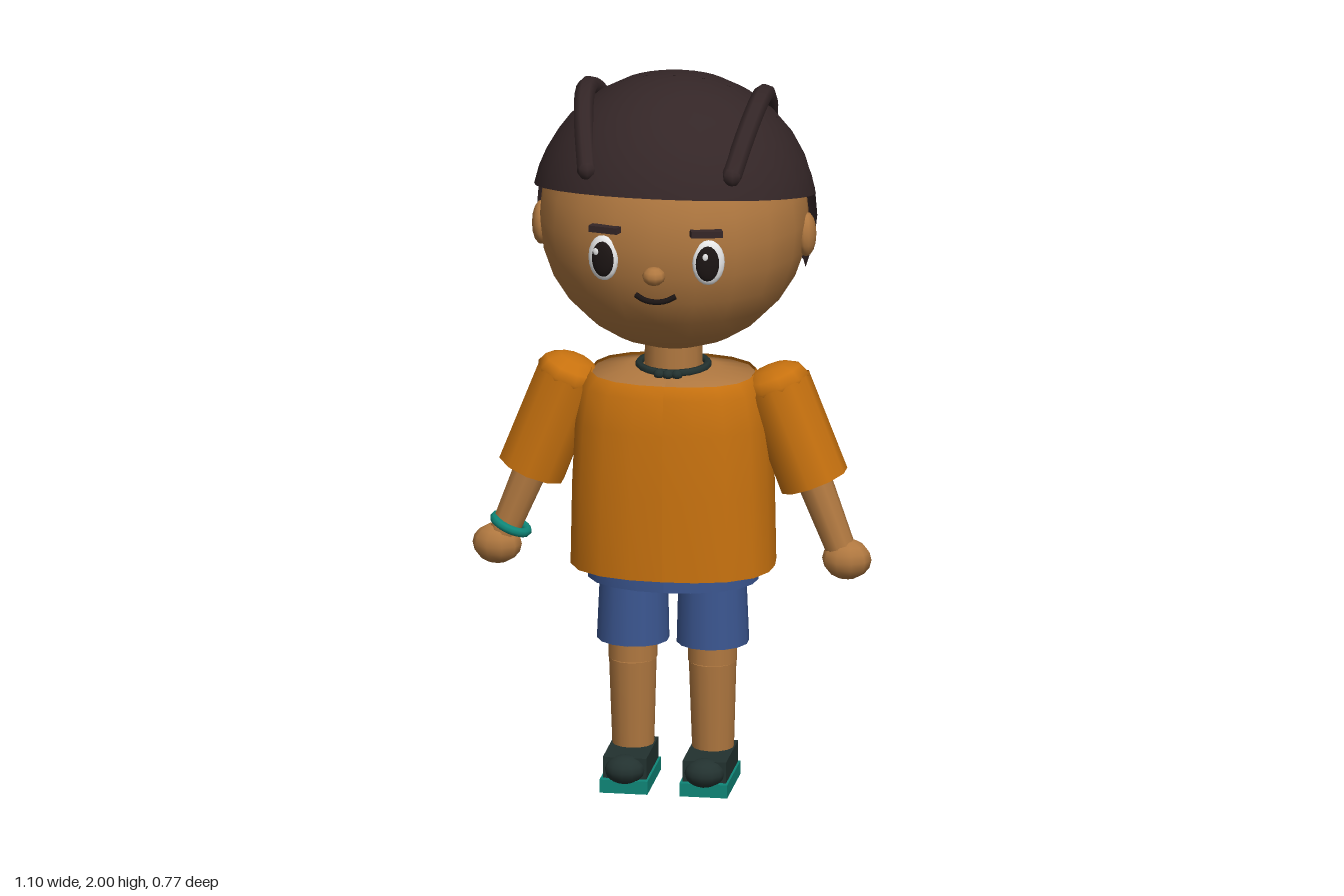
import * as THREE from 'three';
import { ParametricGeometry } from 'three/addons/geometries/ParametricGeometry.js';

const mat = (name, color, side = THREE.FrontSide) => {
  const m = new THREE.MeshStandardMaterial({ color, side });
  m.name = name;
  return m;
};
const V = (x, y, z) => new THREE.Vector3(x, y, z);

export function createModel() {
  const root = new THREE.Group();
  root.name = 'child';
  const skin = mat('skin', 0xb07840);
  const hair = mat('hair', 0x342627, THREE.DoubleSide);
  const shirt = mat('shirt orange', 0xc8720f, THREE.DoubleSide);
  const denim = mat('shorts blue', 0x3b5690);
  const teal = mat('teal', 0x0f8678);
  const dark = mat('shoe dark', 0x233230);
  const white = mat('eye white', 0xeeeeee);
  const black = mat('pupil', 0x1c1514);

  const add = (name, geo, material, x = 0, y = 0, z = 0) => {
    const m = new THREE.Mesh(geo, material);
    m.name = name;
    m.position.set(x, y, z);
    root.add(m);
    return m;
  };
  const ball = (name, material, p, s, w = 12, h = 8) => {
    const m = add(name, new THREE.SphereGeometry(1, w, h), material, ...p);
    m.scale.set(...s);
    return m;
  };
  const box = (name, material, p, s) => add(name, new THREE.BoxGeometry(...s), material, ...p);
  // tapered cylinder from a (radius ra) down to b (radius rb)
  const limb = (name, material, a, b, ra, rb, sides = 12, open = false) => {
    const m = add(name, new THREE.CylinderGeometry(ra, rb, a.distanceTo(b), sides, 1, open), material);
    m.position.copy(a).lerp(b, 0.5);
    m.quaternion.setFromUnitVectors(V(0, 1, 0), a.clone().sub(b).normalize());
    return m;
  };
  // lathe squared off into a rounded-box cross-section
  const torso = (name, material, profile, rx, rz, n = 2.5) => {
    const geo = new THREE.LatheGeometry(profile.map(p => new THREE.Vector2(...p)), 20);
    const pos = geo.attributes.position;
    for (let i = 0; i < pos.count; i++) {
      const x = pos.getX(i), z = pos.getZ(i), a = Math.atan2(x, z);
      const k = (Math.abs(Math.sin(a)) ** n + Math.abs(Math.cos(a)) ** n) ** (-1 / n);
      pos.setX(i, x * k * rx);
      pos.setZ(i, z * k * rz);
    }
    geo.computeVertexNormals();
    return add(name, geo, material, 0, 0, 0.013);
  };

  // head, a little flatter at the face
  const headGeo = new THREE.SphereGeometry(0.37, 20, 14);
  const hp = headGeo.attributes.position;
  for (let i = 0; i < hp.count; i++) if (hp.getZ(i) > 0) hp.setZ(i, hp.getZ(i) * 0.945);
  headGeo.computeVertexNormals();
  add('head', headGeo, skin, 0, 1.605, 0);
  limb('neck', skin, V(0, 1.28, 0.01), V(0, 1.12, 0.01), 0.078, 0.082);

  // hair: sphere shells ending on a rim height that depends on z
  const R = 0.39, CY = 1.61;
  const shell = (name, phi0, phi1, rim, segs) => {
    const point = (phi, t) => {
      const z = R * Math.sin(t) * Math.sin(phi);
      return [R * Math.sin(t) * Math.cos(phi), CY + R * Math.cos(t), z > 0 ? z * 0.94 : z];
    };
    add(name, new ParametricGeometry((u, v, out) => {
      const phi = phi0 + u * (phi1 - phi0);
      let t = 1.3;
      for (let i = 0; i < 10; i++) t = Math.acos((rim(point(phi, t)[2]) - CY) / R);
      out.set(...point(phi, 0.01 + v * (t - 0.01)));
    }, segs, 10), hair);
  };
  const E = 0.14;
  shell('hairFront', -E, Math.PI + E, z => 1.665 + (z + 0.055) * 0.215, 16);
  shell('hairBack', Math.PI + E, 2 * Math.PI - E, () => 1.455, 14);

  // clothes on the torso
  torso('shirtBody', shirt, [[1, 0.62], [0.985, 0.85], [0.955, 1.03], [0.9, 1.13], [0.8, 1.165]], 0.28, 0.203);
  torso('chest', skin, [[0.8, 1.1], [0.79, 1.158], [0.45, 1.175], [0, 1.185]], 0.28, 0.203);
  torso('waistband', denim, [[0, 0.58], [1, 0.58], [1, 0.58], [1, 0.66], [1, 0.66], [0, 0.66]], 0.235, 0.173, 2.2);

  // necklace with beads
  add('necklace', new THREE.TorusGeometry(0.094, 0.011, 6, 20), dark, 0, 1.182, 0.01).rotation.x = Math.PI / 2;
  for (const a of [-0.25, 0, 0.25])
    ball('necklaceBead', dark, [0.1 * Math.sin(a), 1.18, 0.01 + 0.1 * Math.cos(a)], [0.016, 0.014, 0.016], 8, 6);

  // nose and mouth
  ball('nose', skin, [0, 1.535, 0.355], [0.032, 0.026, 0.03], 10, 6);
  const smile = new THREE.CatmullRomCurve3([V(-0.055, 1.47, 0.322), V(-0.03, 1.459, 0.331),
    V(0, 1.455, 0.334), V(0.03, 1.459, 0.331), V(0.055, 1.47, 0.322)]);
  add('mouth', new THREE.TubeGeometry(smile, 10, 0.008, 6), black);

  for (const s of [1, -1]) {
    // face
    ball('ear', skin, [s * 0.365, 1.565, 0], [0.027, 0.062, 0.045]);
    const eye = new THREE.Group();
    eye.name = 'eye';
    eye.position.set(s * 0.145, 1.57, 0.318);
    eye.rotation.y = s * 0.3;
    root.add(eye);
    for (const [name, m, x, y, z, sx, sy, sz] of [
      ['eyeWhite', white, 0, 0, 0, 0.045, 0.064, 0.02],
      ['pupil', black, -s * 0.004, 0, 0.012, 0.033, 0.05, 0.013],
      ['eyeGlint', white, -0.012, 0.022, 0.023, 0.008, 0.01, 0.003]])
      eye.add(ball(name, m, [x, y, z], [sx, sy, sz], 16, 10));
    const brow = box('eyebrow', hair, [s * 0.14, 1.654, 0.325], [0.088, 0.018, 0.025]);
    brow.rotation.set(0, s * 0.35, -s * 0.05);

    // raised hair strand running front to back
    const strand = new THREE.CatmullRomCurve3([V(s * 0.2, 1.8, 0.26), V(s * 0.222, 1.885, 0.17),
      V(s * 0.238, 1.94, 0.07), V(s * 0.242, 1.95, -0.02), V(s * 0.236, 1.91, -0.13),
      V(s * 0.222, 1.84, -0.23), V(s * 0.2, 1.755, -0.31)]);
    add('hairStrand', new THREE.TubeGeometry(strand, 16, 0.028, 7), hair);
    for (const p of [strand.getPoint(0), strand.getPoint(1)])
      ball('strandTip', hair, p.toArray(), [0.028, 0.028, 0.028], 7, 5);

    // sleeve, arm and hand
    const top = V(s * 0.285, 1.14, 0.012), cuff = V(s * 0.39, 0.868, 0.016);
    const sleeve = limb('sleeve', shirt, top, cuff, 0.094, 0.096, 10, true);
    const cap = ball('shoulder', shirt, top.toArray(), [0.094, 0.055, 0.094], 10, 6);
    cap.quaternion.copy(sleeve.quaternion);
    const wrist = V(s * 0.475, 0.66, 0.038);
    limb('arm', skin, V(s * 0.35, 0.97, 0.014), wrist, 0.052, 0.04, 10);
    ball('hand', skin, [s * 0.482, 0.656, 0.038], [0.068, 0.056, 0.056], 10, 8);
    if (s < 0) {
      const band = add('wristband', new THREE.TorusGeometry(0.048, 0.013, 8, 18), teal, -0.445, 0.71, 0.034);
      band.quaternion.setFromUnitVectors(V(0, 0, 1), V(0.4, 0.917, 0).normalize());
    }

    // shorts leg, leg and knee
    limb('shortsLeg', denim, V(s * 0.108, 0.61, 0.017), V(s * 0.11, 0.4, 0.02), 0.092, 0.099, 14);
    limb('upperLeg', skin, V(s * 0.11, 0.45, 0.024), V(s * 0.11, 0.347, 0.025), 0.067, 0.067, 14);
    limb('lowerLeg', skin, V(s * 0.11, 0.347, 0.025), V(s * 0.11, 0.06, 0.016), 0.065, 0.056, 14);

    // shoe
    box('shoeSole', teal, [s * 0.11, 0.0225, 0.072], [0.132, 0.037, 0.235]);
    box('shoeUpper', dark, [s * 0.11, 0.07, 0.065], [0.12, 0.06, 0.21]);
    ball('shoeToe', dark, [s * 0.11, 0.066, 0.165], [0.056, 0.04, 0.052], 12, 8);
    box('heelPatch', skin, [s * 0.11, 0.06, -0.041], [0.112, 0.04, 0.006]);
    box('footBottom', skin, [s * 0.11, 0.003, 0.072], [0.106, 0.006, 0.205]);
  }
  return root;
}
